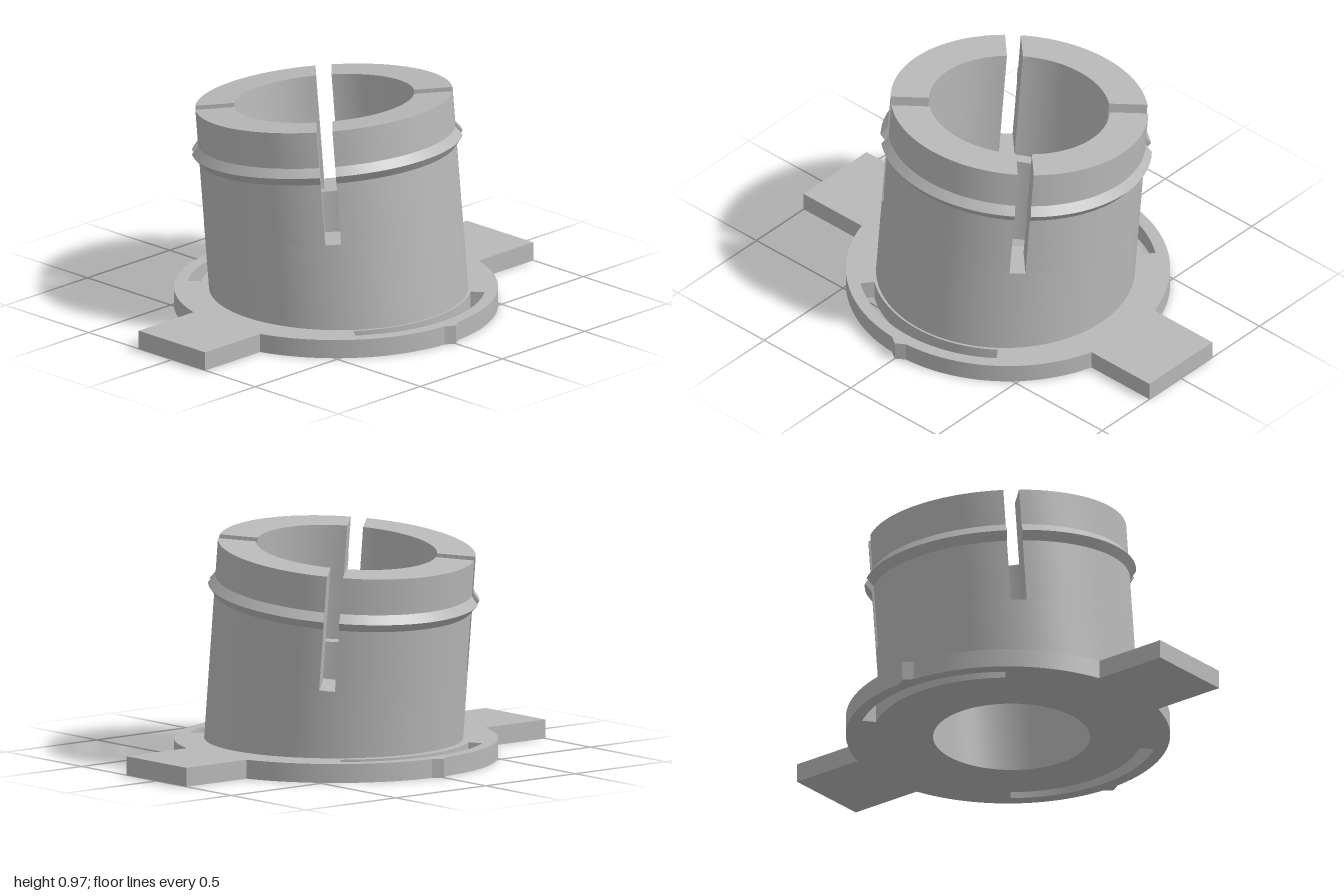
import * as THREE from 'three';
import { mergeGeometries, toCreasedNormals } from 'three/addons/utils/BufferGeometryUtils.js';

const TILT = THREE.MathUtils.degToRad(6);
const OUTER = 0.553, BORE = 0.335, UPPER_BORE = 0.388;
const STEP = 0.42, TOP = 0.922, SLOT_HALF = 0.034, THICK = 0.082;
const CREASE = 0.4;

const points = (list) => list.map(([x, y]) => new THREE.Vector2(x, y));

function moveVertices(geometry, rule) {
  const pos = geometry.attributes.position;
  const v = new THREE.Vector3();
  for (let i = 0; i < pos.count; i++) {
    rule(v.fromBufferAttribute(pos, i));
    pos.setXYZ(i, v.x, v.y, v.z);
  }
  return geometry;
}

// Flat flange with two tabs, two pointed markers and two curved slots
function flangeGeometry() {
  const R = 0.694, a = Math.asin(0.2 / R), b = 0.06, P = Math.PI;
  const s = new THREE.Shape();
  s.moveTo(1, -0.2);
  s.lineTo(1, 0.2);
  s.absarc(0, 0, R, a, P / 2 - b);
  s.lineTo(0, 0.72);
  s.absarc(0, 0, R, P / 2 + b, P - a);
  s.lineTo(-1, 0.2);
  s.lineTo(-1, -0.2);
  s.absarc(0, 0, R, P + a, 1.5 * P - b);
  s.lineTo(0, -0.72);
  s.absarc(0, 0, R, 1.5 * P + b, 2 * P - a);
  s.closePath();

  // Opening that is closed by the foot of the tube
  const opening = new THREE.Path();
  opening.absarc(0, -0.024, 0.45, 0, 2 * P, true);
  s.holes.push(opening);

  const half = THREE.MathUtils.degToRad(38);
  for (const mid of [P / 2, 1.5 * P]) {
    const slot = new THREE.Path();
    slot.absarc(0, 0, 0.64, mid - half, mid + half, false);
    slot.absarc(0, 0, 0.58, mid + half, mid - half, true);
    slot.closePath();
    s.holes.push(slot);
  }
  const g = new THREE.ExtrudeGeometry(s, { depth: THICK, bevelEnabled: false, curveSegments: 48 });
  g.rotateX(-P / 2);
  return toCreasedNormals(g, CREASE);
}

// Lower tube, its foot cut level with the ground
function lowerTubeGeometry() {
  const profile = points([[OUTER, 0], [OUTER, STEP], [BORE, STEP], [BORE, 0], [0.46, 0]]);
  const g = new THREE.LatheGeometry(profile, 96);
  moveVertices(g, (v) => {
    if (v.y < 0.001) v.y = -v.z * Math.tan(TILT);
  });
  return toCreasedNormals(g, CREASE);
}

// One quarter of the split collar, with a snap ridge and parallel-sided gaps
function collarGeometry() {
  const profile = points([
    [OUTER, STEP], [OUTER, 0.69], [0.582, 0.727], [OUTER, 0.764],
    [OUTER, TOP], [UPPER_BORE, TOP], [UPPER_BORE, STEP],
  ]);
  const place = (v, r, t) => {
    const phi = t * (Math.PI / 4 - Math.asin(SLOT_HALF / r));
    v.set(r * Math.sin(phi), v.y, r * Math.cos(phi));
  };
  const wall = new THREE.LatheGeometry(profile, 24, -1, 2);
  moveVertices(wall, (v) => place(v, Math.hypot(v.x, v.z), Math.atan2(v.x, v.z)));
  const ends = [-1, 1].map((side) => {
    const cap = new THREE.ShapeGeometry(new THREE.Shape(profile));
    if (side > 0) cap.setIndex(Array.from(cap.index.array).reverse());
    return moveVertices(cap, (v) => place(v, v.x, side));
  });
  return toCreasedNormals(mergeGeometries([wall, ...ends]), CREASE);
}

export function createModel() {
  const model = new THREE.Group();
  model.name = 'tiltedFlangedBushing';
  const grey = new THREE.MeshStandardMaterial({ color: 0xb8b8b8 });
  grey.name = 'grey';

  const add = (parent, name, geometry) => {
    const mesh = new THREE.Mesh(geometry, grey);
    mesh.name = name;
    parent.add(mesh);
    return mesh;
  };

  add(model, 'flange', flangeGeometry());

  // Everything on the tilted axis
  const sleeve = new THREE.Group();
  sleeve.name = 'sleeve';
  sleeve.position.z = 0.024;
  sleeve.rotation.x = -TILT;
  model.add(sleeve);

  add(sleeve, 'lowerTube', lowerTubeGeometry());
  const quarter = collarGeometry();
  for (let i = 0; i < 4; i++) {
    add(sleeve, `collarQuarter${i + 1}`, quarter).rotation.y = (i * Math.PI) / 2;
  }
  return model;
}
